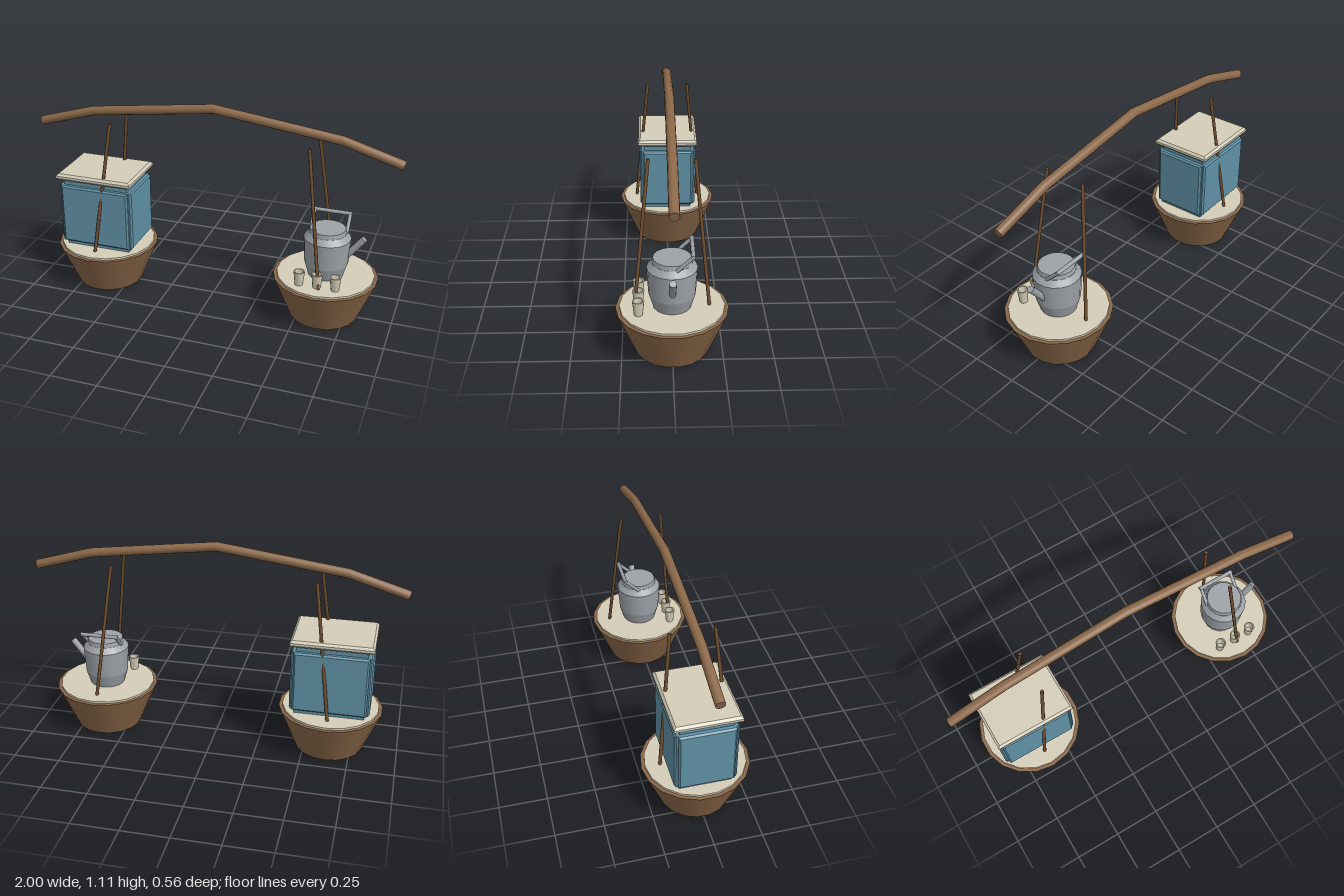
import * as THREE from 'three';
import { toCreasedNormals } from 'three/addons/utils/BufferGeometryUtils.js';

const mat = (name, color) => Object.assign(new THREE.MeshStandardMaterial({ color }), { name });

export function createModel() {
  const wood = mat('wood', 0x8b6849);
  const cord = mat('dark wood', 0x72502f);
  const cream = mat('cream', 0xd4cdb8);
  const blue = mat('blue', 0x5f90a5);
  const metal = mat('grey metal', 0x9da2a8);

  const model = new THREE.Group();
  model.name = 'shoulderPoleStall';

  const add = (parent, name, geometry, material, x = 0, y = 0, z = 0) => {
    const mesh = new THREE.Mesh(geometry, material);
    mesh.name = name;
    mesh.position.set(x, y, z);
    parent.add(mesh);
    return mesh;
  };

  // Round bar between two points
  const rod = (parent, name, a, b, r, material, sides = 8) => {
    const from = new THREE.Vector3(...a), to = new THREE.Vector3(...b);
    const dir = to.clone().sub(from);
    const mesh = add(parent, name, new THREE.CylinderGeometry(r, r, dir.length(), sides), material);
    mesh.position.copy(from).add(to).multiplyScalar(0.5);
    mesh.quaternion.setFromUnitVectors(new THREE.Vector3(0, 1, 0), dir.normalize());
    return mesh;
  };

  // Chamfered slab, thickness t along z, centred
  const slab = (w, h, t, b) => {
    const x = w / 2 - b, y = h / 2 - b;
    const shape = new THREE.Shape([
      new THREE.Vector2(-x, -y), new THREE.Vector2(x, -y),
      new THREE.Vector2(x, y), new THREE.Vector2(-x, y)]);
    const g = new THREE.ExtrudeGeometry(shape, {
      depth: t - 2 * b, bevelEnabled: true, bevelSize: b, bevelThickness: b, bevelSegments: 1 });
    return g.translate(0, 0, b - t / 2);
  };

  // Bent carrying pole: each ring of a cylinder moves to a bend point and tilts
  const bends = [[-0.992, 0.91, 0.274], [-0.68, 1.002, 0.2], [0, 1.09, 0], [0.68, 1.002, -0.2], [0.992, 0.91, -0.274]];
  const poleGeo = new THREE.CylinderGeometry(0.025, 0.025, 4, 14, 4).rotateZ(-Math.PI / 2);
  const p = poleGeo.attributes.position;
  for (let i = 0; i < p.count; i++) {
    const [cx, cy, tilt] = bends[Math.round(p.getX(i) + 2)];
    const y = p.getY(i);
    p.setXY(i, cx - Math.sin(tilt) * y, cy + Math.cos(tilt) * y);
  }
  add(model, 'carryingPole', toCreasedNormals(poleGeo, 0.6), wood);

  // Two baskets, each with a tray top and a pair of hangers
  for (const side of [-1, 1]) {
    const basket = new THREE.Group();
    basket.name = side < 0 ? 'rightBasket' : 'leftBasket';
    model.add(basket);
    const x = side * 0.63;
    add(basket, 'basketBody', new THREE.CylinderGeometry(0.279, 0.182, 0.233, 18), wood, x, 0.1165, 0);
    add(basket, 'basketTray', new THREE.CylinderGeometry(0.26, 0.26, 0.024, 18), cream, x, 0.232, 0);
    for (const z of [-1, 1]) {
      rod(basket, 'hanger', [side * 0.537, 0.982, z * 0.111], [side * 0.632, 0.24, z * 0.183], 0.009, cord);
    }
  }

  // Cabinet with raised panels and a chamfered lid
  const cabinet = new THREE.Group();
  cabinet.name = 'cabinet';
  cabinet.position.x = -0.633;
  model.add(cabinet);
  add(cabinet, 'cabinetBody', new THREE.BoxGeometry(0.37, 0.4, 0.27), blue, 0, 0.442, 0);
  for (const s of [-1, 1]) {
    add(cabinet, s > 0 ? 'frontPanel' : 'backPanel', slab(0.39, 0.337, 0.05, 0.009), blue, 0, 0.437, s * 0.135);
    const panel = add(cabinet, 'sidePanel', slab(0.285, 0.337, 0.05, 0.009), blue, s * 0.187, 0.437, 0);
    panel.rotation.y = Math.PI / 2;
  }
  const lid = add(cabinet, 'cabinetLid', slab(0.432, 0.338, 0.037, 0.012), cream, 0, 0.657, 0);
  lid.rotation.x = -Math.PI / 2;

  // Kettle body as stacked cone sections, so the edges between them stay sharp
  const kettle = new THREE.Group();
  kettle.name = 'kettle';
  kettle.position.x = 0.63;
  model.add(kettle);
  const profile = [[0.094, 0.243], [0.116, 0.315], [0.125, 0.458], [0.1, 0.488]];
  for (let i = 0; i < profile.length - 1; i++) {
    const [r0, y0] = profile[i], [r1, y1] = profile[i + 1];
    add(kettle, 'kettleBody', new THREE.CylinderGeometry(r1, r0, y1 - y0, 18), metal, 0, (y0 + y1) / 2, 0);
  }
  add(kettle, 'kettleLid', new THREE.CylinderGeometry(0.094, 0.099, 0.024, 18), metal, 0, 0.499, 0);
  rod(kettle, 'spout', [0.1, 0.358, 0], [0.192, 0.476, 0], 0.018, metal, 10);

  // Handle folded towards the back
  for (const s of [-1, 1]) {
    rod(kettle, 'handleArm', [s * 0.095, 0.485, -0.02], [s * 0.095, 0.564, -0.1], 0.01, metal);
  }
  rod(kettle, 'handleGrip', [-0.104, 0.562, -0.098], [0.104, 0.562, -0.098], 0.011, metal);

  // Three hollow cups
  const cupProfile = [[0, 0], [0.021, 0], [0.03, 0.078], [0.023, 0.078], [0.018, 0.02], [0, 0.02]]
    .map(([r, y]) => new THREE.Vector2(r, y));
  const cupGeo = toCreasedNormals(new THREE.LatheGeometry(cupProfile, 14), 0.6);
  for (const x of [0.525, 0.62, 0.716]) {
    add(model, 'cup', cupGeo, cream, x, 0.243, 0.165);
  }

  return model;
}
